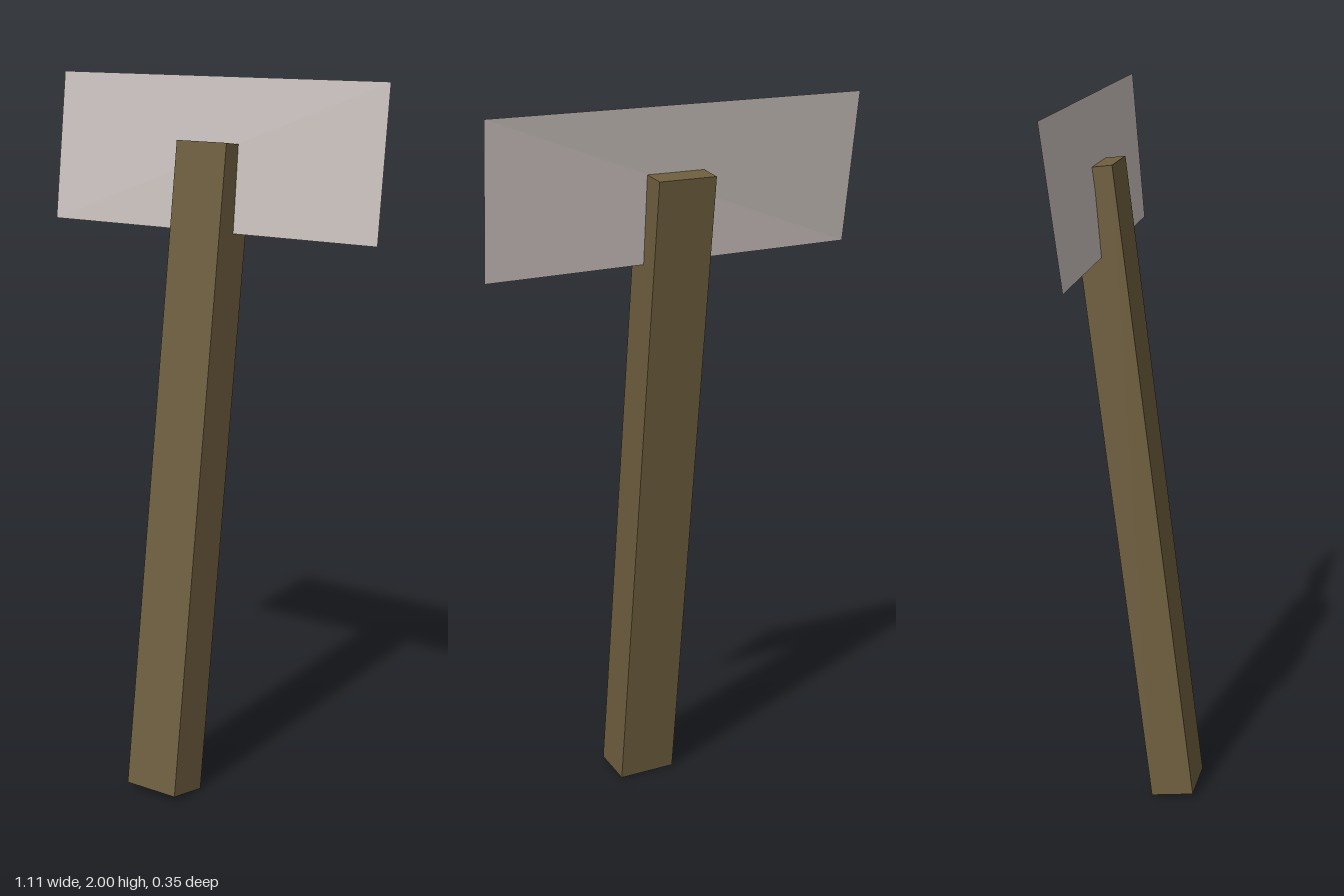
import * as THREE from 'three';

export function createModel() {
  const model = new THREE.Group();

  // Square wooden post, leaning back
  const post = new THREE.Mesh(
    new THREE.BoxGeometry(0.17, 1.826, 0.121),
    new THREE.MeshStandardMaterial({ color: 0x6f5f3f, flatShading: true })
  );
  post.name = 'post';
  post.position.set(0.002, 0.915, 0);
  post.rotation.x = -0.127;
  model.add(post);

  // Thin, slightly twisted sign panel running through the top of the post
  const corners = [
    [-0.555, 2.0, -0.133], [0.553, 2.0, -0.133],
    [-0.548, 1.58, -0.078], [0.547, 1.58, -0.095],
  ];
  const panelGeometry = new THREE.PlaneGeometry(1, 1);
  corners.forEach((c, i) => panelGeometry.attributes.position.setXYZ(i, ...c));
  panelGeometry.computeVertexNormals();
  const panel = new THREE.Mesh(
    panelGeometry,
    new THREE.MeshStandardMaterial({ color: 0xcbc2bf, flatShading: true, side: THREE.DoubleSide })
  );
  panel.name = 'signPanel';
  model.add(panel);

  return model;
}
